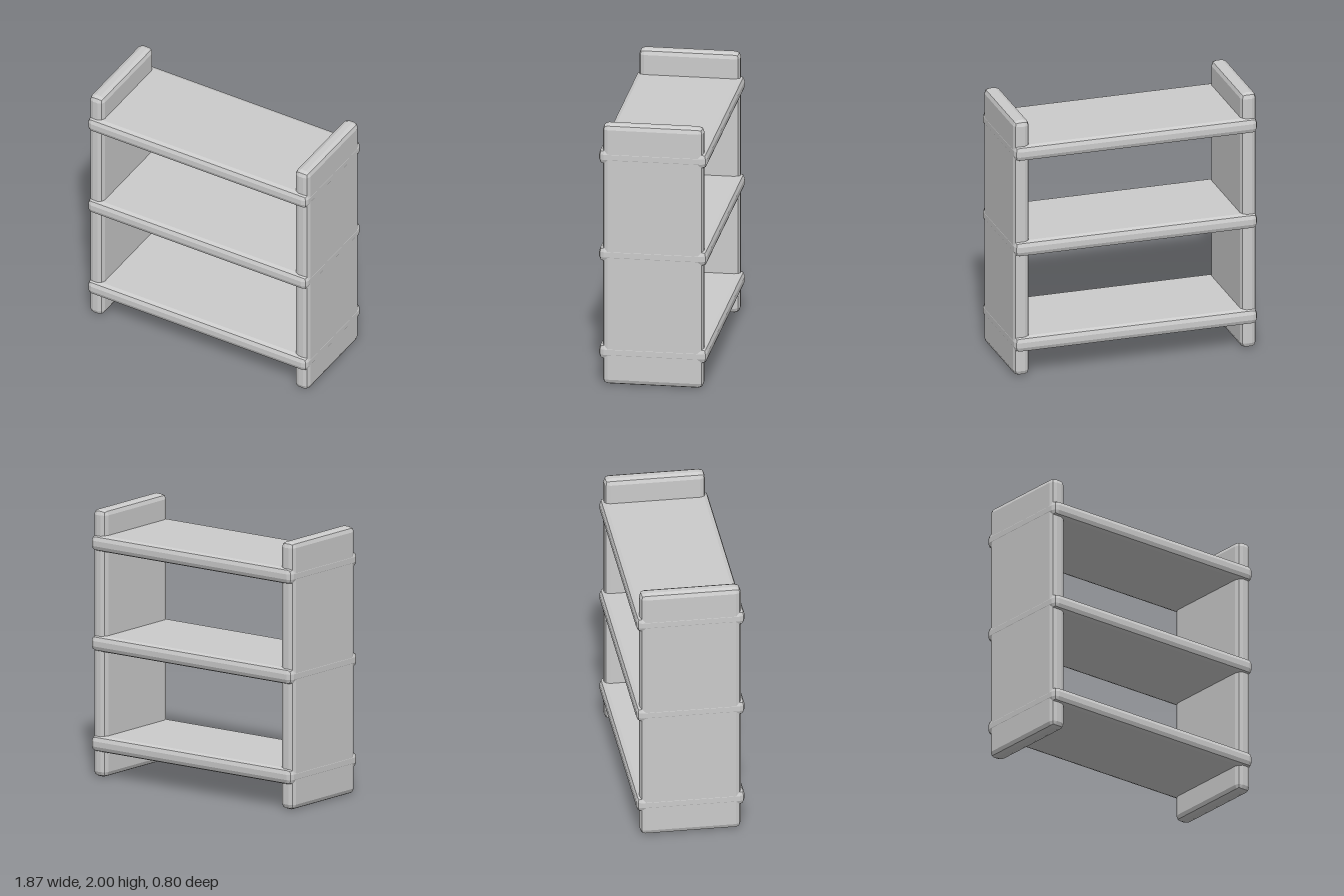
import * as THREE from 'three';
import { RoundedBoxGeometry } from 'three/addons/geometries/RoundedBoxGeometry.js';

const BEVEL = 0.04;
const THICKNESS = 0.12;

export function createModel() {
  const group = new THREE.Group();
  group.name = 'shelfUnit';
  const material = new THREE.MeshStandardMaterial({ color: 0xcccccc, flatShading: true });

  // A plank with softly bevelled edges
  function addPlank(name, width, height, depth, x, y) {
    const plank = new THREE.Mesh(new RoundedBoxGeometry(width, height, depth, 1, BEVEL), material);
    plank.name = name;
    plank.position.set(x, y, 0);
    group.add(plank);
  }

  // Upright side panels
  addPlank('leftPanel', THICKNESS, 2, 0.745, 0.872, 1);
  addPlank('rightPanel', THICKNESS, 2, 0.745, -0.872, 1);

  // Shelves run through the panels and overhang them front and back
  const shelves = [['bottomShelf', 0.25], ['middleShelf', 1.0], ['topShelf', 1.75]];
  for (const [name, y] of shelves) addPlank(name, 1.866, THICKNESS, 0.8, 0, y);

  return group;
}
